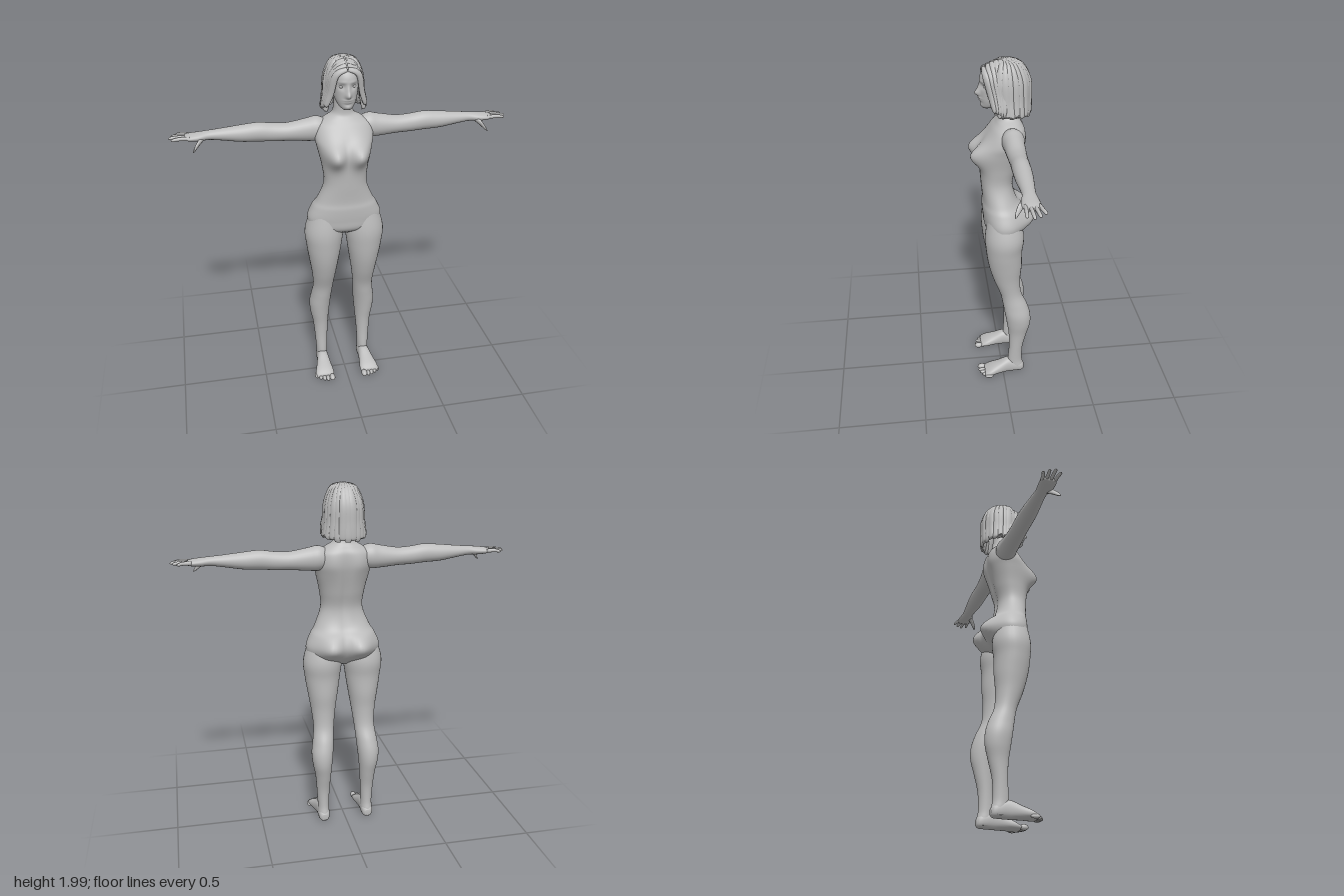
import * as THREE from 'three';

const V3 = (x, y, z) => new THREE.Vector3(x, y, z);
const clay = new THREE.MeshStandardMaterial({ color: 0xbcbcbc });
clay.name = 'clay grey';

const FRAMES = { x: [V3(0, 1, 0), V3(0, 0, 1)], y: [V3(1, 0, 0), V3(0, 0, 1)], z: [V3(1, 0, 0), V3(0, 1, 0)] };

// Smooth skin through elliptical stations [x, y, z, radiusU, radiusV].
// frame: ring plane normal 'x', 'y' or 'z', or a centre point for rings that follow the path.
function loft(stations, frame, rows = 24, segs = 20, power = 2) {
  const path = new THREE.CatmullRomCurve3(stations.map(s => V3(s[0], s[1], s[2])), false, 'catmullrom', 0.5);
  const size = new THREE.CatmullRomCurve3(stations.map(s => V3(s[3], s[4], 0)), false, 'catmullrom', 0.5);
  const pos = [], idx = [];
  const bend = c => Math.sign(c) * Math.abs(c) ** (2 / power);
  let flip = false;
  for (let i = 0; i <= rows; i++) {
    const t = i / rows, p = path.getPoint(t), r = size.getPoint(t);
    let U, V;
    if (typeof frame === 'string') {
      [U, V] = FRAMES[frame];
      if (i === rows >> 1) flip = U.clone().cross(V).dot(path.getTangent(t)) < 0;
    } else {
      const T = path.getTangent(t);
      U = T.clone().cross(p.clone().sub(frame)).normalize();
      V = T.clone().cross(U);
    }
    for (let j = 0; j < segs; j++) {
      const a = j / segs * Math.PI * 2;
      const q = p.clone().addScaledVector(U, bend(Math.cos(a)) * r.x).addScaledVector(V, bend(Math.sin(a)) * r.y);
      pos.push(q.x, q.y, q.z);
    }
  }
  const tri = (a, b, c) => (flip ? idx.push(a, c, b) : idx.push(a, b, c));
  const first = (rows + 1) * segs, last = first + 1;
  for (const t of [0, 1]) pos.push(...path.getPoint(t).toArray());
  for (let j = 0; j < segs; j++) {
    const k = (j + 1) % segs, e = rows * segs;
    tri(first, k, j);
    tri(last, e + j, e + k);
    for (let i = 0; i < rows; i++) {
      const a = i * segs + j, b = i * segs + k;
      tri(a, b, a + segs);
      tri(b, b + segs, a + segs);
    }
  }
  const g = new THREE.BufferGeometry();
  g.setAttribute('position', new THREE.Float32BufferAttribute(pos, 3));
  g.setIndex(idx);
  g.computeVertexNormals();
  return g;
}

// Raise or sink soft mounds [x, y, spreadX, spreadY, height, side], mirrored in x.
function sculpt(g, mounds) {
  const p = g.attributes.position, n = g.attributes.normal;
  for (let i = 0; i < p.count; i++) {
    let dz = 0;
    for (const [x, y, sx, sy, h, side] of mounds) {
      const u = (Math.abs(p.getX(i)) - x) / sx, v = (p.getY(i) - y) / sy;
      dz += side * h * Math.max(0, n.getZ(i) * side) * Math.exp(-(u * u + v * v) / 2);
    }
    p.setZ(i, p.getZ(i) + dz);
  }
  g.computeVertexNormals();
  return g;
}

export function createModel() {
  const model = new THREE.Group();
  model.name = 'standing figure';
  const add = (name, geo) => {
    const m = new THREE.Mesh(geo, clay);
    m.name = name;
    model.add(m);
    return m;
  };
  const ball = (name, x, y, z, rx, ry, rz) => {
    const m = add(name, new THREE.SphereGeometry(1, 20, 14));
    m.position.set(x, y, z);
    m.scale.set(rx, ry, rz);
  };

  // Torso and neck: [y, half width, front z, back z]
  const torso = [
    [0.975, 0.07, 0.03, -0.05], [1.02, 0.185, 0.088, -0.10], [1.08, 0.212, 0.1, -0.12], [1.15, 0.187, 0.105, -0.112],
    [1.2, 0.157, 0.102, -0.085], [1.3, 0.12, 0.11, -0.066], [1.4, 0.128, 0.115, -0.09], [1.5, 0.15, 0.11, -0.115],
    [1.56, 0.162, 0.088, -0.126], [1.62, 0.15, 0.052, -0.125], [1.655, 0.105, 0.025, -0.11], [1.685, 0.06, 0.01, -0.095],
    [1.74, 0.05, 0.012, -0.085], [1.8, 0.05, 0.02, -0.08],
  ].map(([y, w, f, b]) => [0, y, (f + b) / 2, w, (f - b) / 2]);
  add('torso', sculpt(loft(torso, 'y', 90, 64, 2.25), [
    [0.075, 1.48, 0.042, 0.045, 0.072, 1],
    [0.085, 1.09, 0.052, 0.052, 0.068, -1],
    [0, 1.4, 0.015, 0.13, -0.012, -1],
    [0.08, 1.56, 0.035, 0.05, 0.01, -1],
  ]));

  // Head with a sculpted face
  const head = [
    [0, 1.735, 0.07, 0.022, 0.022], [0, 1.75, 0.052, 0.04, 0.045], [0, 1.78, 0.03, 0.056, 0.074],
    [0, 1.82, 0.01, 0.067, 0.097], [0, 1.87, 0, 0.074, 0.108], [0, 1.91, -0.005, 0.076, 0.11],
    [0, 1.95, -0.015, 0.068, 0.096], [0, 1.98, -0.02, 0.045, 0.062], [0, 1.99, -0.02, 0.01, 0.012],
  ];
  add('head', sculpt(loft(head, 'y', 70, 72, 2.1), [
    [0, 1.815, 0.01, 0.012, 0.026, 1], [0, 1.842, 0.008, 0.018, 0.012, 1],
    [0.032, 1.86, 0.014, 0.011, -0.012, 1], [0.03, 1.885, 0.018, 0.006, 0.004, 1],
    [0, 1.79, 0.016, 0.004, 0.01, 1], [0, 1.778, 0.014, 0.004, 0.009, 1],
    [0, 1.75, 0.016, 0.01, 0.01, 1],
  ]));

  for (const s of [1, -1]) {
    const side = s > 0 ? 'left' : 'right';
    const mirror = list => list.map(([x, ...rest]) => [s * x, ...rest]);

    ball(side + 'Eye', s * 0.032, 1.86, 0.082, 0.013, 0.009, 0.011);
    ball(side + 'Ear', s * 0.08, 1.845, -0.002, 0.012, 0.032, 0.018);

    // Arm and palm
    add(side + 'Arm', loft(mirror([
      [0.07, 1.59, -0.045, 0.045, 0.045], [0.14, 1.595, -0.05, 0.068, 0.06], [0.2, 1.591, -0.05, 0.063, 0.055],
      [0.3, 1.587, -0.05, 0.05, 0.05], [0.38, 1.59, -0.05, 0.05, 0.047], [0.46, 1.598, -0.048, 0.052, 0.047],
      [0.55, 1.597, -0.048, 0.046, 0.045], [0.65, 1.6, -0.047, 0.033, 0.037], [0.72, 1.602, -0.045, 0.025, 0.033],
      [0.77, 1.599, -0.042, 0.023, 0.042], [0.82, 1.598, -0.043, 0.018, 0.045], [0.85, 1.598, -0.045, 0.01, 0.036],
    ]), 'x', 60, 28));

    // Fingers: [base z, tip x, tip z]
    for (const [zb, xt, zt] of [[-0.078, 0.898, -0.095], [-0.057, 0.92, -0.068], [-0.035, 0.932, -0.04], [-0.013, 0.918, -0.008]]) {
      const xm = (0.83 + xt) / 2, zm = (zb + zt) / 2;
      add(side + 'Finger', loft(mirror([
        [0.82, 1.6, zb, 0.011, 0.01], [xm, 1.602, zm, 0.01, 0.009],
        [xt - 0.012, 1.599, zt, 0.008, 0.008], [xt, 1.597, zt, 0.002, 0.002],
      ]), 'x', 14, 12));
    }
    add(side + 'Thumb', loft(mirror([
      [0.745, 1.597, -0.03, 0.013, 0.014], [0.775, 1.578, -0.002, 0.016, 0.015],
      [0.798, 1.553, 0.018, 0.012, 0.01], [0.812, 1.536, 0.028, 0.003, 0.003],
    ]), 'x', 16, 14));

    // Leg
    add(side + 'Leg', loft(mirror([
      [0.105, 1.13, -0.005, 0.085, 0.085], [0.117, 1.0, -0.01, 0.111, 0.11], [0.119, 0.9, -0.008, 0.102, 0.103],
      [0.119, 0.8, -0.015, 0.087, 0.095], [0.119, 0.7, -0.025, 0.071, 0.077], [0.121, 0.6, -0.047, 0.06, 0.062],
      [0.129, 0.52, -0.072, 0.061, 0.071], [0.137, 0.45, -0.088, 0.063, 0.075], [0.138, 0.38, -0.094, 0.057, 0.07],
      [0.134, 0.3, -0.09, 0.046, 0.055], [0.133, 0.2, -0.08, 0.038, 0.042], [0.132, 0.1, -0.075, 0.033, 0.043],
      [0.132, 0.05, -0.082, 0.034, 0.045], [0.132, 0.015, -0.085, 0.03, 0.038],
    ]), 'y', 70, 32));

    // Foot and toes
    add(side + 'Foot', loft(mirror([
      [0.132, 0.032, -0.13, 0.016, 0.018], [0.132, 0.036, -0.115, 0.03, 0.033], [0.132, 0.045, -0.08, 0.035, 0.044],
      [0.133, 0.05, -0.03, 0.036, 0.05], [0.137, 0.038, 0.03, 0.046, 0.037], [0.14, 0.027, 0.08, 0.056, 0.026],
      [0.14, 0.018, 0.115, 0.052, 0.014],
    ]), 'z', 36, 24, 2.3));
    for (let k = 0; k < 5; k++) {
      const r = k ? 0.0115 : 0.017;
      ball(side + 'Toe', s * (0.101 + k * 0.0215 + (k ? 0.005 : 0)), r + 0.002, 0.131 - k * k * 0.0025, r, r, 0.026);
    }
  }

  // Hair: scalp cap, hanging locks round the back, swept locks at the front
  ball('hairCap', 0, 1.885, -0.03, 0.09, 0.108, 0.118);
  const core = V3(0, 1.85, -0.02);
  const COUNT = 17;
  for (let i = 0; i < COUNT; i++) {
    const a = (i / (COUNT - 1) - 0.5) * 3.9, x = Math.sin(a), z = -Math.cos(a), odd = i % 2;
    const end = 1.692 + 0.022 * Math.abs(x) ** 4 + odd * 0.008;
    add('backLock', loft([
      [x * 0.015, 1.985, -0.02 + z * 0.01, 0.006, 0.008], [x * 0.062, 1.966, -0.028 + z * 0.075, 0.017, 0.012],
      [x * 0.092, 1.89, -0.032 + z * 0.114, 0.025, 0.013 + odd * 0.003], [x * 0.1, 1.79, -0.036 + z * 0.115, 0.026, 0.013 + odd * 0.003],
      [x * 0.112, 1.72, -0.04 + z * 0.114, 0.024, 0.012], [x * 0.115, end, -0.04 + z * 0.114, 0.014, 0.006],
    ], core, 28, 12));
  }
  for (const s of [1, -1]) {
    for (let k = 0; k < 5; k++) {
      const u = k / 4;
      add('frontLock', loft([
        [s * 0.002, 1.986 - 0.036 * u * u, 0.088 * u, 0.012, 0.008], [s * 0.045, 1.97 - 0.036 * u, 0.085 * u, 0.017, 0.011],
        [s * (0.086 - 0.018 * u), 1.9, 0.076 * u, 0.02, 0.012], [s * (0.099 - 0.016 * u), 1.82, -0.005 + 0.062 * u, 0.019, 0.011],
        [s * (0.115 - 0.012 * u), 1.755, -0.008 + 0.05 * u, 0.014, 0.009], [s * (0.122 - 0.014 * u), 1.718 + 0.025 * u, -0.01 + 0.045 * u, 0.003, 0.003],
      ], core, 28, 12));
    }
  }
  return model;
}
